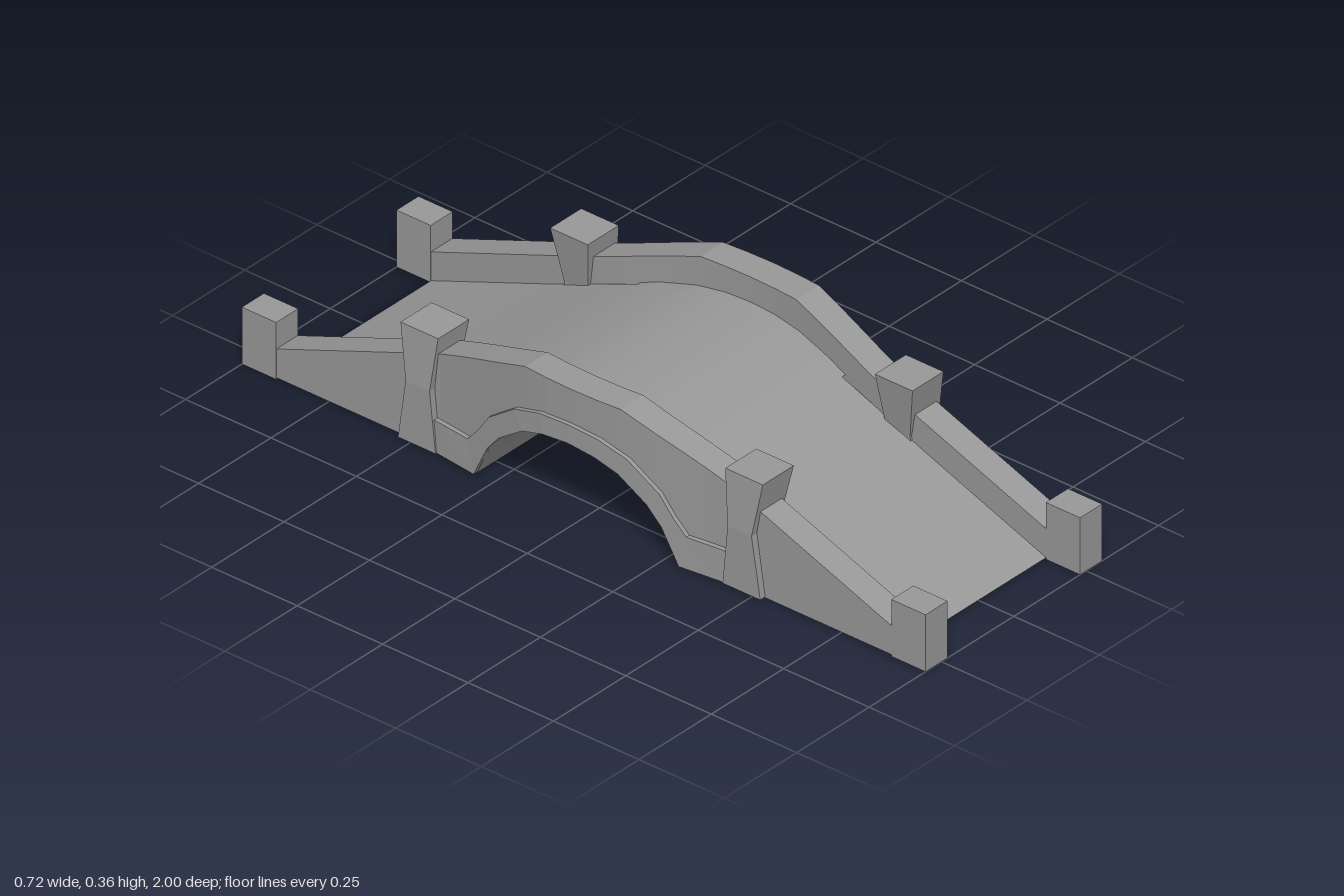
import * as THREE from 'three';

const stone = new THREE.MeshStandardMaterial({ color: 0x999999, flatShading: true, side: THREE.DoubleSide });
const paving = new THREE.MeshStandardMaterial({ color: 0x999999, side: THREE.DoubleSide });

// Height curves over distance from the middle: [|z|, y]
const railTop = [[0, 0.36], [0.14, 0.36], [0.3, 0.305], [0.42, 0.262], [0.53, 0.22], [0.9, 0.08], [1, 0.04]];
const archUnder = [[0, 0.223], [0.075, 0.215], [0.14, 0.195], [0.215, 0.142], [0.255, 0.095], [0.3, 0.004], [1, 0.004]];
const deckTop = [[0, 0.295], [0.07, 0.293], [0.15, 0.282], [0.25, 0.255], [0.35, 0.218], [0.45, 0.177], [0.55, 0.137], [0.9, 0.004]];

function sample(curve, z) {
  const a = Math.abs(z);
  for (let i = 1; i < curve.length; i++) {
    const [z0, y0] = curve[i - 1], [z1, y1] = curve[i];
    if (a <= z1) return y0 + (y1 - y0) * (a - z0) / (z1 - z0);
  }
  return curve[curve.length - 1][1];
}

// Sideways swelling of the middle span: 1 at the centre, 0 at the pillars
const bulge = (z) => Math.max(0, 1 - (z / 0.44) ** 2) ** 1.6;
const innerX = (z) => 0.23 + 0.04 * bulge(z);
const outerX = (z) => 0.304 + 0.045 * bulge(z);

// Shell through four-cornered cross-sections, turned to face outward and left open on the ground
function loft(sections) {
  const corners = sections.flat(), idx = [];
  const quad = (a, b, c, d) => {
    if ([a, b, c, d].some((i) => corners[i][1] > 0.01)) idx.push(a, b, c, a, c, d);
  };
  for (let i = 0; i < sections.length - 1; i++) {
    for (let j = 0; j < 4; j++) {
      const k = (j + 1) % 4;
      quad(i * 4 + j, i * 4 + k, i * 4 + 4 + k, i * 4 + 4 + j);
    }
  }
  const e = (sections.length - 1) * 4;
  quad(3, 2, 1, 0);
  quad(e, e + 1, e + 2, e + 3);
  let volume = 0;
  const v = (i) => new THREE.Vector3(...corners[i]);
  for (let i = 0; i < idx.length; i += 3) volume += v(idx[i]).dot(v(idx[i + 1]).cross(v(idx[i + 2])));
  if (volume < 0) idx.reverse();
  const g = new THREE.BufferGeometry();
  g.setAttribute('position', new THREE.Float32BufferAttribute(corners.flat(), 3));
  g.setIndex(idx);
  g.computeVertexNormals();
  return g;
}

// Upright block through levels of [y, inner x, outer x, near z, far z]
const block = (levels, s, e) => loft(levels.map(([y, xi, xo, zn, zf]) => [
  [s * xi, y, e * zn], [s * xo, y, e * zn], [s * xo, y, e * zf], [s * xi, y, e * zf],
]));

// Thin sheet across the bridge following a height curve
function sheet(curve, halfWidth, reach, steps) {
  const g = new THREE.PlaneGeometry(halfWidth * 2, reach * 2, 1, steps).rotateX(-Math.PI / 2);
  const p = g.attributes.position;
  for (let i = 0; i < p.count; i++) p.setY(i, sample(curve, p.getZ(i)));
  g.computeVertexNormals();
  return g;
}

export function createModel() {
  const model = new THREE.Group();
  const add = (parent, name, geometry, material = stone) => {
    const mesh = new THREE.Mesh(geometry, material);
    mesh.name = name;
    parent.add(mesh);
  };

  // Walking surface and the barrel vault below it
  add(model, 'deck', sheet(deckTop, 0.232, 0.9, 48), paving);
  add(model, 'deckMiddle', sheet(deckTop.map(([z, y]) => [z, y - 0.001]), 0.27, 0.3, 24), paving);
  add(model, 'vault', sheet(archUnder, 0.28, 0.3, 24), paving);

  for (const s of [1, -1]) {
    const side = new THREE.Group();
    side.name = s > 0 ? 'leftSide' : 'rightSide';
    model.add(side);

    // Parapet wall with the arch cut out of its foot
    const half = [0.91, 0.53, 0.42, 0.36, 0.3, 0.255, 0.215, 0.14, 0.075, 0];
    const stations = [...half, ...half.slice(0, -1).reverse().map((z) => -z)];
    add(side, 'parapetWall', loft(stations.map((z) => {
      const top = sample(railTop, z), foot = sample(archUnder, z);
      const a = s * innerX(z), b = s * outerX(z);
      return [[a, foot, z], [b, foot, z], [b, top, z], [a, top, z]];
    })));

    // Raised arch band: [outer z, outer y, inner z, inner y] from the foot to the crown
    const rise = [[0.44, 0.09, 0.44, 0.006], [0.32, 0.09, 0.3, 0.006], [0.285, 0.13, 0.255, 0.095],
      [0.25, 0.18, 0.215, 0.142], [0.165, 0.242, 0.14, 0.195], [0.085, 0.266, 0.075, 0.215], [0, 0.272, 0, 0.223]];
    const band = [...rise, ...rise.slice(0, -1).reverse().map(([a, b, c, d]) => [-a, b, -c, d])];
    add(side, 'archBand', loft(band.map(([zo, yo, zi, yi]) => [
      [s * (outerX(zi) - 0.01), yi, zi], [s * (outerX(zi) + 0.011), yi, zi],
      [s * (outerX(zo) + 0.011), yo, zo], [s * (outerX(zo) - 0.01), yo, zo],
    ])));

    for (const e of [1, -1]) {
      // Square post at the end of the ramp
      add(side, 'endPost', block([[0, 0.229, 0.305, 0.9, 1], [0.15, 0.229, 0.305, 0.9, 1]], s, e));

      // Waisted pillar
      add(side, 'pillar', block([
        [0.006, 0.228, 0.321, 0.42, 0.53], [0.165, 0.225, 0.323, 0.436, 0.506], [0.305, 0.205, 0.312, 0.42, 0.53],
      ], s, e));
    }
  }
  return model;
}
